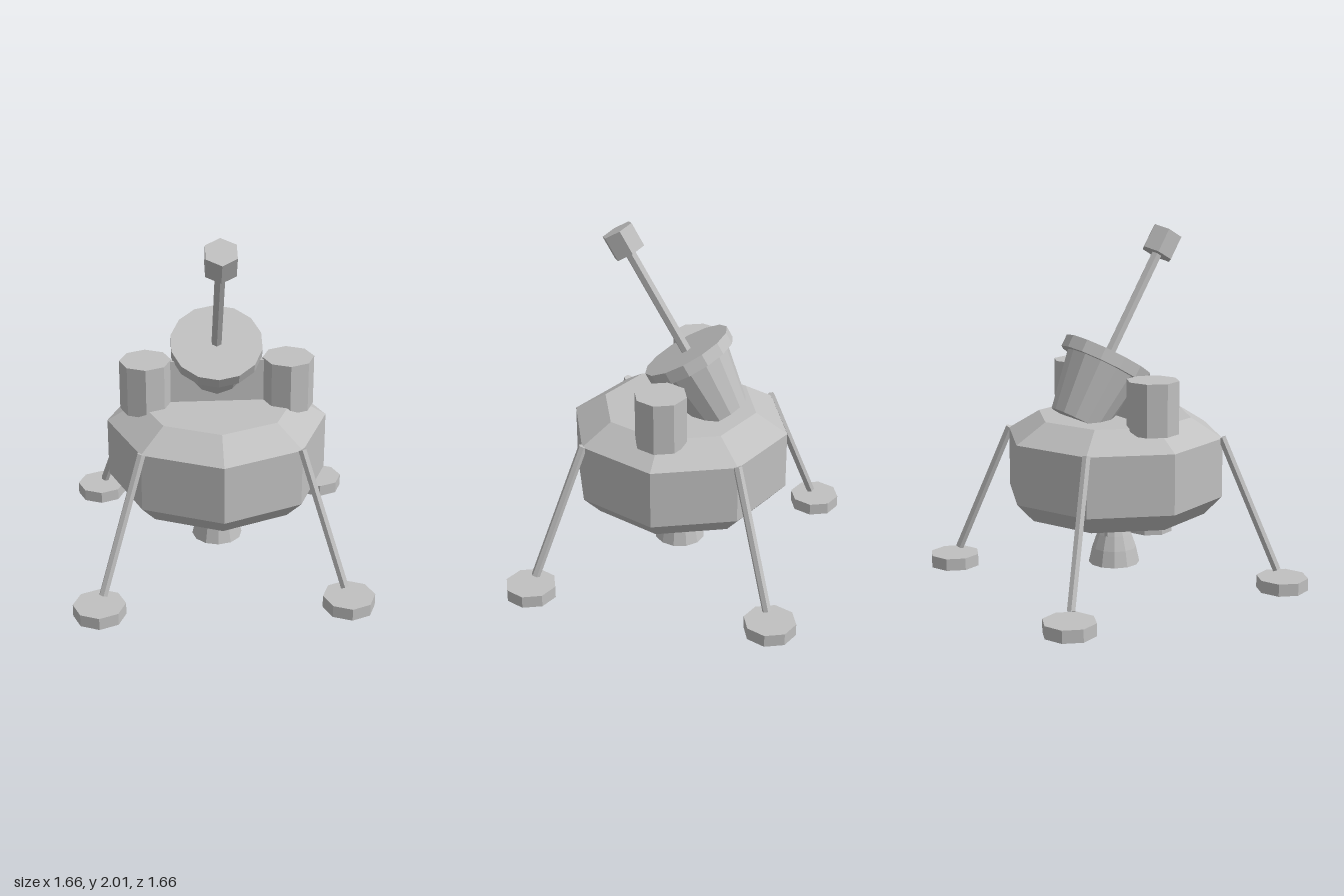
import * as THREE from 'three';

export function createModel() {
  const model = new THREE.Group();
  model.name = 'lander';
  const grey = new THREE.MeshStandardMaterial({ color: 0xc0c0c0, flatShading: true, side: THREE.DoubleSide });
  grey.name = 'plain grey';

  function add(parent, name, geometry, x = 0, y = 0, z = 0) {
    const mesh = new THREE.Mesh(geometry, grey);
    mesh.name = name;
    mesh.position.set(x, y, z);
    parent.add(mesh);
    return mesh;
  }
  // Upright prism or taper between two heights
  const prism = (parent, name, rTop, rBottom, y0, y1, sides, x = 0, z = 0, open = false) =>
    add(parent, name, new THREE.CylinderGeometry(rTop, rBottom, y1 - y0, sides, 1, open), x, (y0 + y1) / 2, z);
  const lathe = (points, sides) =>
    new THREE.LatheGeometry(points.map(([r, y]) => new THREE.Vector2(r, y)), sides);

  // Octagonal body with bevelled deck and underside
  add(model, 'body', lathe([[0, 0.405], [0.52, 0.405], [0.62, 0.51], [0.62, 0.845], [0.44, 0.955], [0, 0.955]], 8));

  // Four legs with hollow foot pads
  const up = new THREE.Vector3(0, 1, 0);
  for (const sx of [-1, 1]) for (const sz of [-1, 1]) {
    const top = new THREE.Vector3(0.435 * sx, 0.85, 0.435 * sz);
    const foot = new THREE.Vector3(0.662 * sx, 0.11, 0.662 * sz);
    const span = top.clone().sub(foot);
    const leg = add(model, 'leg', new THREE.CylinderGeometry(0.025, 0.025, span.length(), 6));
    leg.position.copy(top).add(foot).multiplyScalar(0.5);
    leg.quaternion.setFromUnitVectors(up, span.normalize());

    const x = 0.685 * sx, z = 0.685 * sz;
    prism(model, 'footPadRim', 0.145, 0.145, 0, 0.07, 8, x, z, true);
    const cap = add(model, 'footPadTop', new THREE.CircleGeometry(0.145, 8), x, 0.07, z);
    cap.rotation.x = -Math.PI / 2;
  }

  // Side tanks and the panel joining them
  for (const s of [-1, 1]) prism(model, 'tank', 0.145, 0.145, 0.92, 1.21, 8, 0.4 * s);
  add(model, 'tankPanel', new THREE.BoxGeometry(0.6, 0.26, 0.03), 0, 1.07, 0);

  // Engine bell with neck and three feed pipes
  add(model, 'engineBell', lathe([[0, 0.09], [0.145, 0.09], [0.125, 0.18], [0.097, 0.26], [0.058, 0.36], [0, 0.36]], 12));
  prism(model, 'engineNeck', 0.065, 0.065, 0.37, 0.41, 12);
  prism(model, 'engineCollar', 0.065, 0.055, 0.35, 0.37, 12);
  for (let i = 0; i < 3; i++) {
    const a = (i * Math.PI * 2) / 3;
    prism(model, 'feedPipe', 0.018, 0.018, 0.245, 0.36, 6, Math.cos(a) * 0.08, Math.sin(a) * 0.08);
  }

  // Antenna tilted forward; its origin is the centre of the dish face
  const antenna = new THREE.Group();
  antenna.name = 'antenna';
  antenna.position.set(0, 1.293, -0.035);
  antenna.rotation.x = Math.PI / 6;
  model.add(antenna);
  prism(antenna, 'dishRim', 0.26, 0.26, -0.07, 0, 14);
  prism(antenna, 'dishBase', 0.22, 0.16, -0.405, -0.07, 14);
  prism(antenna, 'mast', 0.031, 0.031, -0.02, 0.65, 6);
  prism(antenna, 'mastHead', 0.095, 0.095, 0.63, 0.77, 6);

  return model;
}
